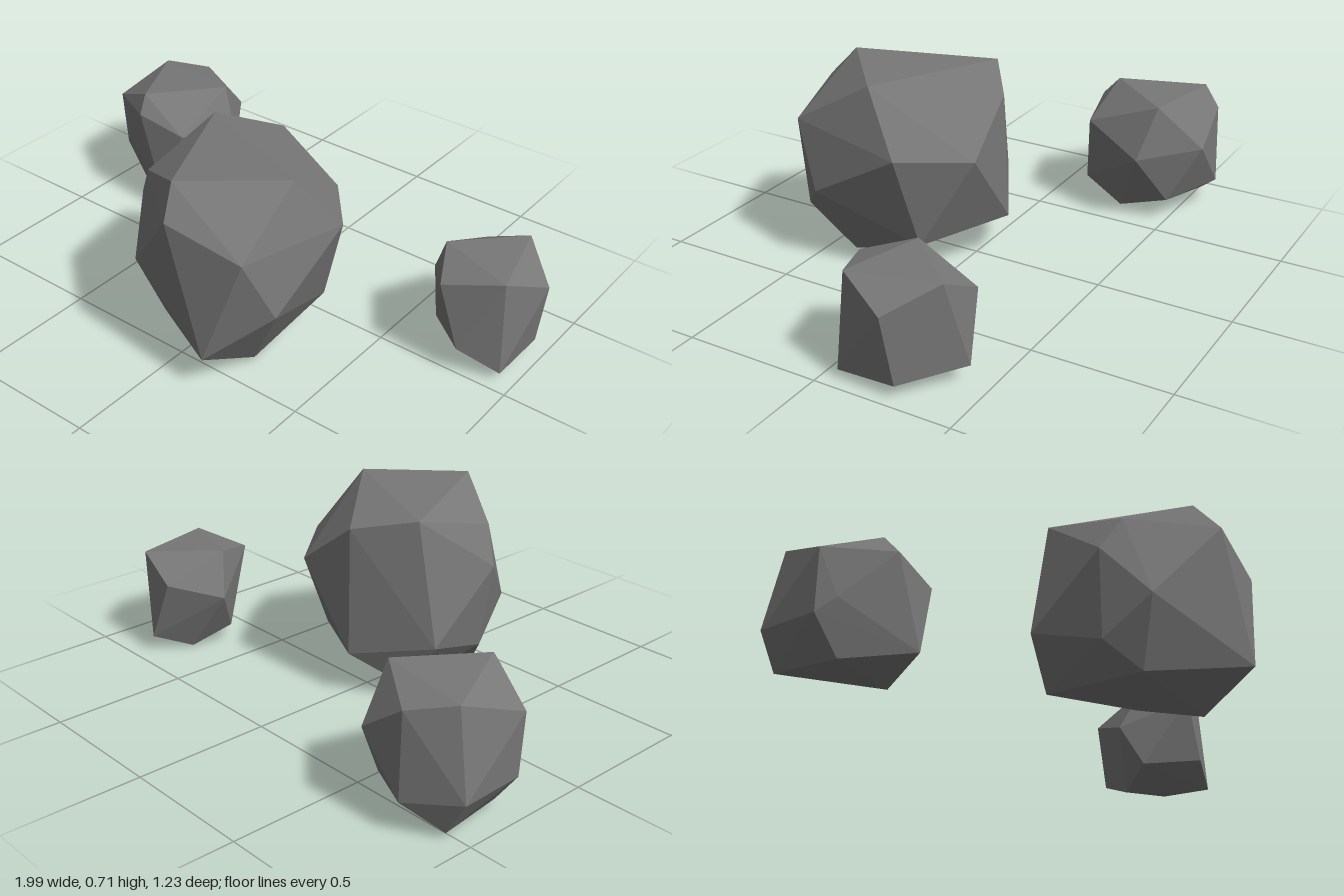
import * as THREE from 'three';
import { ConvexGeometry } from 'three/addons/geometries/ConvexGeometry.js';

// Each boulder is a faceted convex hull around a few corner points [x, y, z].
const largeCorners = [
  // top
  [0, 0.712, 0.513], [0.3, 0.706, 0.255], [-0.22, 0.686, 0.04], [-0.02, 0.64, -0.1],
  [0.04, 0.61, 0.6], [-0.237, 0.6, 0.375],
  // sides
  [0.32, 0.535, 0.55], [0.39, 0.49, 0.1], [0.21, 0.47, -0.118], [0.375, 0.295, 0.445],
  [-0.31, 0.47, 0.33], [-0.31, 0.235, 0.04], [-0.22, 0.295, 0.48],
  // base
  [0.195, 0.137, 0.613], [0.23, 0.02, 0.38], [0.29, 0.14, 0.06], [-0.03, 0.17, -0.118],
  [-0.19, 0.057, 0.015], [-0.27, 0.155, 0.31], [-0.165, 0.052, 0.4],
];

const mediumCorners = [
  // top
  [-0.79, 0.473, -0.195], [-0.587, 0.465, -0.45], [-0.943, 0.455, -0.5], [-0.81, 0.425, -0.605],
  [-0.77, 0.41, -0.14], [-0.58, 0.36, -0.17],
  // sides
  [-0.5, 0.27, -0.405], [-0.645, 0.31, -0.615], [-0.995, 0.375, -0.27], [-0.935, 0.21, -0.235],
  // base
  [-0.995, 0.15, -0.52], [-0.985, 0.15, -0.28], [-0.81, 0.12, -0.617], [-0.66, 0.085, -0.13],
  [-0.595, 0.09, -0.5], [-0.64, 0.003, -0.29], [-0.92, 0.025, -0.525], [-0.885, 0.022, -0.27],
];

const smallCorners = [
  // top
  [0.64, 0.388, -0.165], [0.845, 0.382, -0.385], [0.925, 0.38, -0.075], [0.725, 0.34, 0.005],
  // sides
  [0.997, 0.303, -0.252], [0.57, 0.225, -0.22], [0.675, 0.295, -0.405],
  // base
  [0.805, 0.105, 0.003], [0.948, 0.033, -0.055], [0.96, 0.05, -0.275], [0.76, 0.065, -0.428],
  [0.7, 0.003, -0.287], [0.63, 0.075, -0.15],
];

export function createModel() {
  const group = new THREE.Group();
  group.name = 'boulders';

  const stone = new THREE.MeshStandardMaterial({ color: 0x777777 });
  stone.name = 'stone grey';

  const boulders = { largeBoulder: largeCorners, mediumBoulder: mediumCorners, smallBoulder: smallCorners };
  for (const [name, corners] of Object.entries(boulders)) {
    const geometry = new ConvexGeometry(corners.map((c) => new THREE.Vector3(...c)));
    const mesh = new THREE.Mesh(geometry, stone);
    mesh.name = name;
    group.add(mesh);
  }
  return group;
}
